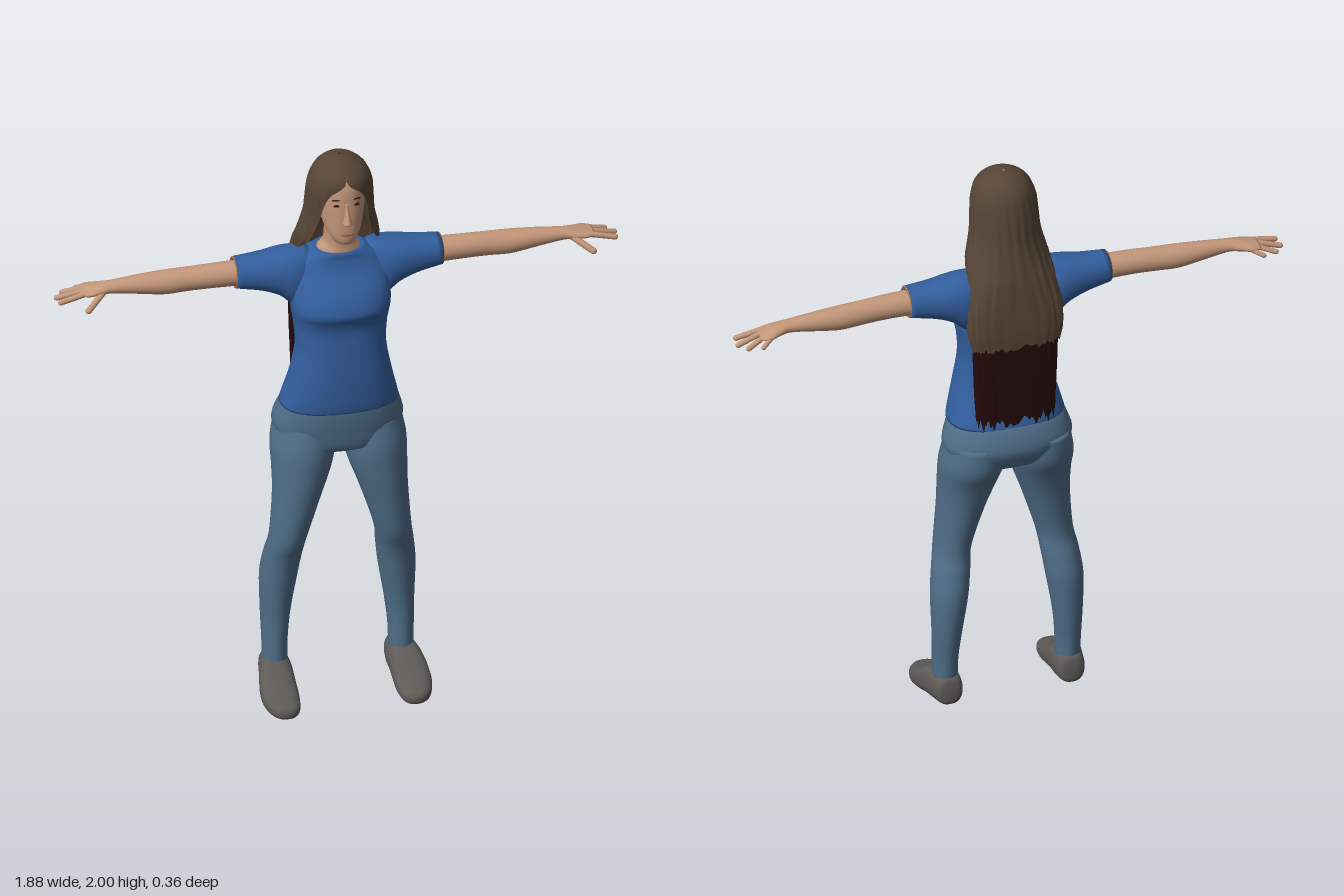
import * as THREE from 'three';

const mat = (name, color, side = THREE.FrontSide) => {
  const m = new THREE.MeshStandardMaterial({ color, side });
  m.name = name;
  return m;
};
const skin = mat('skin', 0xc4987a);
const shirt = mat('shirt blue', 0x335f9f);
const denim = mat('denim', 0x4f6d88);
const hairBrown = mat('hair brown', 0x574536, THREE.DoubleSide);
const hairDark = mat('dark hair ends', 0x240909, THREE.DoubleSide);
const shoeGrey = mat('shoe grey', 0x5e5b57);
const trim = mat('orange trim', 0xc47a35);
const eyeDark = mat('eye dark', 0x2a1a16);
const lipPink = mat('lips', 0xa86a5c);

// Smooth curve through rows of up to six numbers
function sampleRows(rows, sub) {
  const curve = (k) => new THREE.CatmullRomCurve3(
    rows.map((r) => new THREE.Vector3(r[k], r[k + 1], r[k + 2] ?? 0)), false, 'catmullrom');
  const a = curve(0), b = curve(3), count = (rows.length - 1) * sub, out = [];
  for (let i = 0; i <= count; i++) out.push([...a.getPoint(i / count), ...b.getPoint(i / count)]);
  return out;
}

function buildGeometry(pos, idx) {
  const g = new THREE.BufferGeometry();
  g.setAttribute('position', new THREE.Float32BufferAttribute(pos, 3));
  g.setIndex(idx);
  g.computeVertexNormals();
  return g;
}

// Closed body through cross-sections: [position along axis, centre, half width, low, high]
function loft(rows, axis, power = 2, n = 36) {
  const rings = sampleRows(rows, 5), pos = [], idx = [];
  const put = (p, u, v) => pos.push(...(axis === 'y' ? [u, p, v] : axis === 'x' ? [p, v, u] : [u, v, p]));
  const bend = (s) => Math.sign(s) * Math.abs(s) ** (2 / power);
  const flip = (axis !== 'z') !== (rows.at(-1)[0] < rows[0][0]);
  const tri = (a, b, c) => (flip ? idx.push(a, c, b) : idx.push(a, b, c));
  for (const [p, c, r, lo, hi] of rings) {
    for (let j = 0; j < n; j++) {
      const t = (j / n) * Math.PI * 2;
      put(p, c + r * bend(Math.cos(t)), (lo + hi) / 2 + ((hi - lo) / 2) * bend(Math.sin(t)));
    }
  }
  for (let i = 0; i < rings.length - 1; i++) {
    for (let j = 0; j < n; j++) {
      const a = i * n + j, b = i * n + ((j + 1) % n);
      tri(a, b, b + n);
      tri(a, b + n, a + n);
    }
  }
  // End caps
  for (const [i, top] of [[0, false], [rings.length - 1, true]]) {
    const [p, c, , lo, hi] = rings[i], centre = pos.length / 3;
    put(p, c, (lo + hi) / 2);
    for (let j = 0; j < n; j++) {
      const a = i * n + j, b = i * n + ((j + 1) % n);
      if (top) tri(a, b, centre); else tri(b, a, centre);
    }
  }
  return buildGeometry(pos, idx);
}

// Curtain of hair, open at the front: [y, half width, front z, back z, opening angle, roundness]
function hairSheet(rows, ragged, n = 72) {
  const rings = sampleRows(rows, 5), pos = [], idx = [];
  rings.forEach(([y, rx, zf, zb, open, e], i) => {
    const o = Math.max(open, 0), fall = Math.max(0, i / (rings.length - 1) - 0.5) * 2;
    for (let j = 0; j <= n; j++) {
      const t = o + ((Math.PI - o) * 2 * j) / n, s = Math.sin(t), c = Math.cos(t);
      const lock = 1 + 0.015 * Math.sin(t * 23 + y * 9) * Math.min(1, (2 - y) * 6);
      const drop = ragged * fall * (Math.sin(j * 1.9) + Math.sin(j * 0.7));
      pos.push(rx * lock * Math.sign(s) * Math.abs(s) ** e, y + drop,
        (zf + zb) / 2 + ((zf - zb) / 2) * lock * Math.sign(c) * Math.abs(c) ** e);
    }
    if (i === 0) return;
    for (let j = 0; j < n; j++) {
      const b = i * (n + 1) + j, a = b - n - 1;
      idx.push(a, b, b + 1, a, b + 1, a + 1);
    }
  });
  return buildGeometry(pos, idx);
}

export function createModel() {
  const model = new THREE.Group();
  model.name = 'standing woman';
  const add = (name, geometry, material) => {
    const m = new THREE.Mesh(geometry, material);
    m.name = name;
    model.add(m);
    return m;
  };
  const blob = (name, material, p, s) => {
    const m = add(name, new THREE.SphereGeometry(1, 16, 10), material);
    m.position.set(...p);
    m.scale.set(...s);
    return m;
  };

  // Shirt body
  add('shirt', loft([
    [1.083, 0, 0.197, -0.15, 0.1], [1.12, 0, 0.188, -0.14, 0.105], [1.2, 0, 0.168, -0.115, 0.108],
    [1.3, 0, 0.15, -0.105, 0.104], [1.38, 0, 0.154, -0.11, 0.1], [1.42, 0, 0.16, -0.115, 0.108],
    [1.46, 0, 0.164, -0.12, 0.122], [1.52, 0, 0.166, -0.125, 0.098], [1.58, 0, 0.165, -0.125, 0.055],
    [1.62, 0, 0.14, -0.115, 0.038], [1.643, 0, 0.1, -0.1, 0.036], [1.652, 0, 0.085, -0.095, 0.032],
  ], 'y', 2.4), shirt);

  // Trousers: hips
  add('hips', loft([
    [0.912, 0, 0.12, -0.1, 0.04], [0.935, 0, 0.185, -0.145, 0.075], [1.0, 0, 0.217, -0.178, 0.086],
    [1.06, 0, 0.204, -0.165, 0.09], [1.1, 0, 0.185, -0.14, 0.088], [1.13, 0, 0.17, -0.12, 0.085],
  ], 'y', 2.3), denim);

  // Neck and head
  add('neck', loft([
    [1.62, 0, 0.09, -0.1, 0.03], [1.65, 0, 0.074, -0.09, 0.032], [1.68, 0, 0.054, -0.075, 0.03],
    [1.72, 0, 0.05, -0.07, 0.035], [1.78, 0, 0.05, -0.07, 0.04],
  ], 'y'), skin);
  add('head', loft([
    [1.712, 0, 0.02, 0.035, 0.08], [1.722, 0, 0.036, 0.005, 0.095], [1.75, 0, 0.055, -0.04, 0.1],
    [1.8, 0, 0.07, -0.09, 0.1], [1.86, 0, 0.078, -0.105, 0.097], [1.92, 0, 0.077, -0.1, 0.09],
    [1.96, 0, 0.06, -0.075, 0.068], [1.98, 0, 0.03, -0.04, 0.03],
  ], 'y', 2.2), skin);
  add('nose', loft([
    [1.793, 0, 0.008, 0.085, 0.104], [1.8, 0, 0.016, 0.08, 0.121], [1.815, 0, 0.012, 0.08, 0.119],
    [1.84, 0, 0.008, 0.08, 0.107], [1.872, 0, 0.008, 0.08, 0.097],
  ], 'y', 2, 16), skin);
  blob('lips', lipPink, [0, 1.758, 0.098], [0.021, 0.007, 0.006]);

  // Hair: brown upper mass and dark lengths down the back
  add('hair', hairSheet([
    [2.0, 0.004, -0.012, -0.02, 0, 1], [1.992, 0.04, 0.03, -0.06, 0, 1], [1.97, 0.076, 0.07, -0.09, 0, 1],
    [1.94, 0.096, 0.096, -0.11, 0.06, 1], [1.9, 0.108, 0.098, -0.12, 0.5, 1],
    [1.85, 0.112, 0.094, -0.128, 0.7, 1], [1.78, 0.118, 0.082, -0.135, 0.82, 1],
    [1.7, 0.137, 0.06, -0.15, 0.95, 0.95], [1.64, 0.146, 0, -0.162, 1.2, 0.85],
    [1.55, 0.16, -0.06, -0.172, 1.35, 0.7], [1.47, 0.16, -0.085, -0.178, 1.4, 0.65],
    [1.41, 0.148, -0.09, -0.178, 1.4, 0.65],
  ], 0.006), hairBrown);
  add('hair ends', hairSheet([
    [1.54, 0.142, -0.08, -0.163, 1.4, 0.65], [1.4, 0.142, -0.088, -0.171, 1.4, 0.65],
    [1.26, 0.138, -0.085, -0.17, 1.4, 0.65], [1.12, 0.132, -0.095, -0.166, 1.4, 0.65],
  ], 0.012), hairDark);

  for (const s of [1, -1]) {
    const side = s > 0 ? 'left' : 'right';

    // Eyes and brows
    blob(`${side} eye`, eyeDark, [s * 0.031, 1.864, 0.089], [0.013, 0.005, 0.004]);
    blob(`${side} brow`, eyeDark, [s * 0.033, 1.884, 0.0865], [0.017, 0.003, 0.004]).rotation.set(0, s * 0.25, s * -0.08);

    // Sleeve and its trim
    add(`${side} sleeve`, loft([
      [0.07, -0.045, 0.05, 1.5, 1.62], [0.11, -0.045, 0.07, 1.44, 1.652], [0.155, -0.046, 0.08, 1.45, 1.653],
      [0.2, -0.047, 0.077, 1.487, 1.648], [0.26, -0.047, 0.067, 1.512, 1.638], [0.345, -0.046, 0.055, 1.53, 1.632],
    ].map(([x, ...r]) => [s * x, ...r]), 'x', 2.2), shirt);
    const ring = add(`${side} sleeve trim`, new THREE.TorusGeometry(0.052, 0.003, 6, 36), trim);
    ring.position.set(s * 0.345, 1.581, -0.046);
    ring.rotation.y = Math.PI / 2;
    ring.scale.y = 0.95;

    // Arm and palm
    add(`${side} arm`, loft([
      [0.3, -0.046, 0.044, 1.535, 1.622], [0.42, -0.047, 0.041, 1.537, 1.619], [0.5, -0.05, 0.039, 1.535, 1.616],
      [0.58, -0.052, 0.04, 1.532, 1.613], [0.66, -0.053, 0.034, 1.543, 1.608], [0.75, -0.053, 0.026, 1.556, 1.6],
      [0.79, -0.056, 0.034, 1.557, 1.594], [0.83, -0.062, 0.043, 1.556, 1.586], [0.86, -0.064, 0.034, 1.559, 1.579],
    ].map(([x, ...r]) => [s * x, ...r]), 'x'), skin);

    // Fingers: start point, end point, radius
    const fingers = {
      thumb: [[0.785, 1.57, -0.035], [0.845, 1.535, 0.012], 0.011],
      'index finger': [[0.84, 1.572, -0.036], [0.928, 1.553, -0.031], 0.0095],
      'middle finger': [[0.845, 1.573, -0.056], [0.933, 1.55, -0.07], 0.0095],
      'ring finger': [[0.84, 1.573, -0.077], [0.908, 1.55, -0.102], 0.009],
      'little finger': [[0.82, 1.572, -0.09], [0.862, 1.553, -0.116], 0.008],
    };
    for (const [name, [p, q, r]] of Object.entries(fingers)) {
      const a = new THREE.Vector3(s * p[0], p[1], p[2]), b = new THREE.Vector3(s * q[0], q[1], q[2]);
      const d = b.clone().sub(a);
      const f = add(`${side} ${name}`, new THREE.CapsuleGeometry(r, d.length(), 5, 10), skin);
      f.position.copy(a).add(b).multiplyScalar(0.5);
      f.quaternion.setFromUnitVectors(new THREE.Vector3(0, 1, 0), d.normalize());
    }

    // Trouser leg
    add(`${side} leg`, loft([
      [1.02, 0.108, 0.1, -0.165, 0.065], [0.93, 0.118, 0.107, -0.162, 0.088], [0.85, 0.127, 0.098, -0.126, 0.091],
      [0.75, 0.145, 0.08, -0.1, 0.088], [0.6, 0.174, 0.062, -0.082, 0.074], [0.52, 0.187, 0.063, -0.1, 0.046],
      [0.43, 0.198, 0.062, -0.116, 0.028], [0.3, 0.207, 0.05, -0.108, 0.012], [0.2, 0.211, 0.043, -0.095, 0.012],
      [0.11, 0.211, 0.041, -0.088, 0.014],
    ].map(([y, x, ...r]) => [y, s * x, ...r]), 'y'), denim);

    // Shoe
    add(`${side} shoe`, loft([
      [-0.102, 0.21, 0.018, 0.045, 0.09], [-0.09, 0.21, 0.042, 0.03, 0.128], [-0.04, 0.212, 0.052, 0.02, 0.138],
      [0.01, 0.217, 0.057, 0.014, 0.132], [0.05, 0.221, 0.061, 0.008, 0.106], [0.1, 0.222, 0.061, 0.001, 0.076],
      [0.15, 0.219, 0.05, 0, 0.056], [0.175, 0.216, 0.033, 0.004, 0.045], [0.185, 0.215, 0.012, 0.015, 0.032],
    ].map(([z, x, ...r]) => [z, s * x, ...r]), 'z', 2.5), shoeGrey);
  }
  return model;
}
